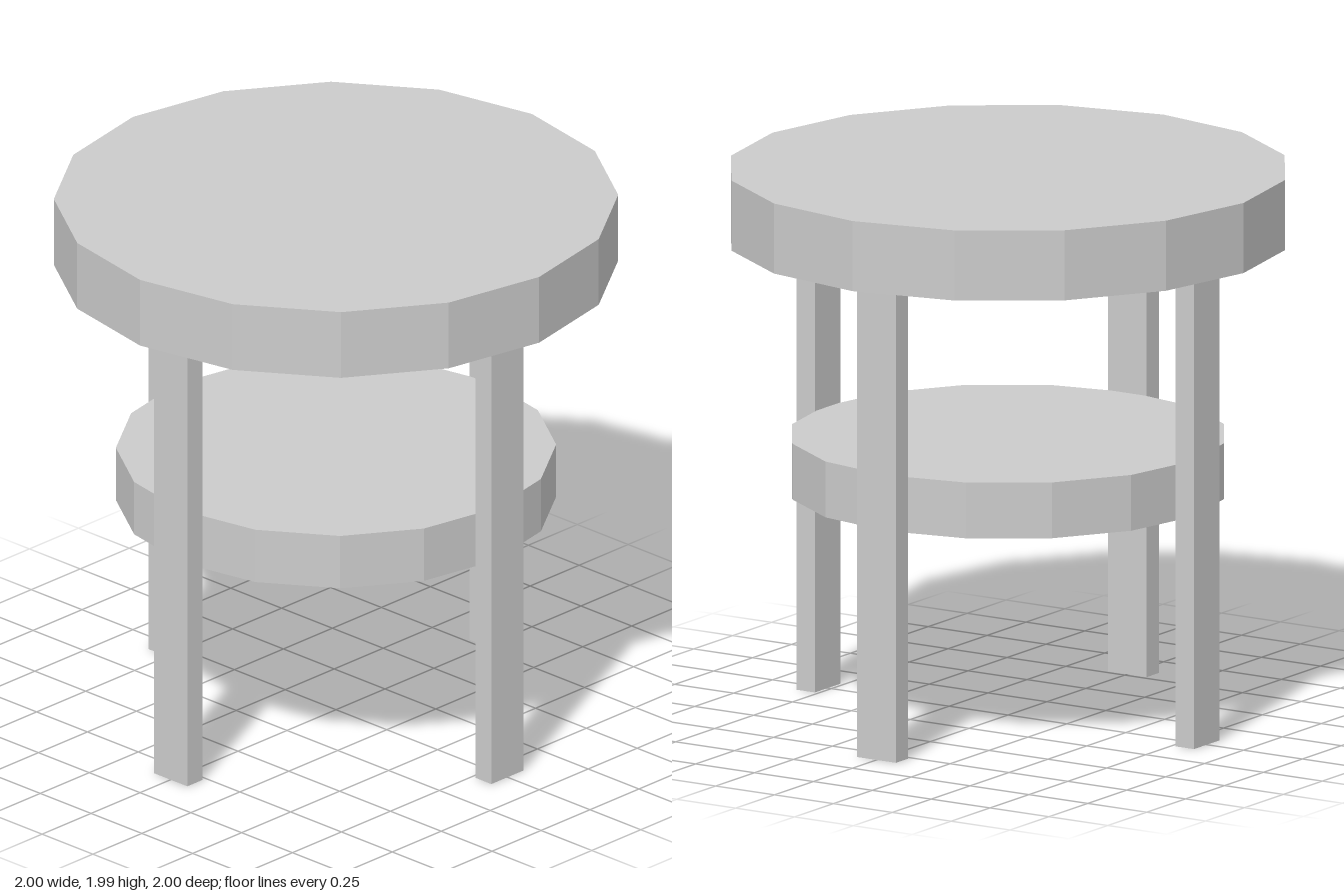
import * as THREE from 'three';

export function createModel() {
  const model = new THREE.Group();
  const material = new THREE.MeshStandardMaterial({ color: 0xcccccc, flatShading: true });

  // Sixteen-sided disc between two heights
  function addDisc(name, radius, bottom, top) {
    const disc = new THREE.Mesh(new THREE.CylinderGeometry(radius, radius, top - bottom, 16), material);
    disc.name = name;
    disc.position.y = (bottom + top) / 2;
    model.add(disc);
  }
  addDisc('tableTop', 1, 1.735, 1.99);
  addDisc('shelf', 0.78, 0.82, 1.023);

  // Four flat legs, broad face outward, around the shelf
  const legHeight = 1.735;
  const legGeometry = new THREE.BoxGeometry(0.165, legHeight, 0.078);
  ['frontLeg', 'leftLeg', 'backLeg', 'rightLeg'].forEach((name, i) => {
    const angle = (i * Math.PI) / 2;
    const leg = new THREE.Mesh(legGeometry, material);
    leg.name = name;
    leg.position.set(0.805 * Math.sin(angle), legHeight / 2, 0.805 * Math.cos(angle));
    leg.rotation.y = angle;
    model.add(leg);
  });

  return model;
}
